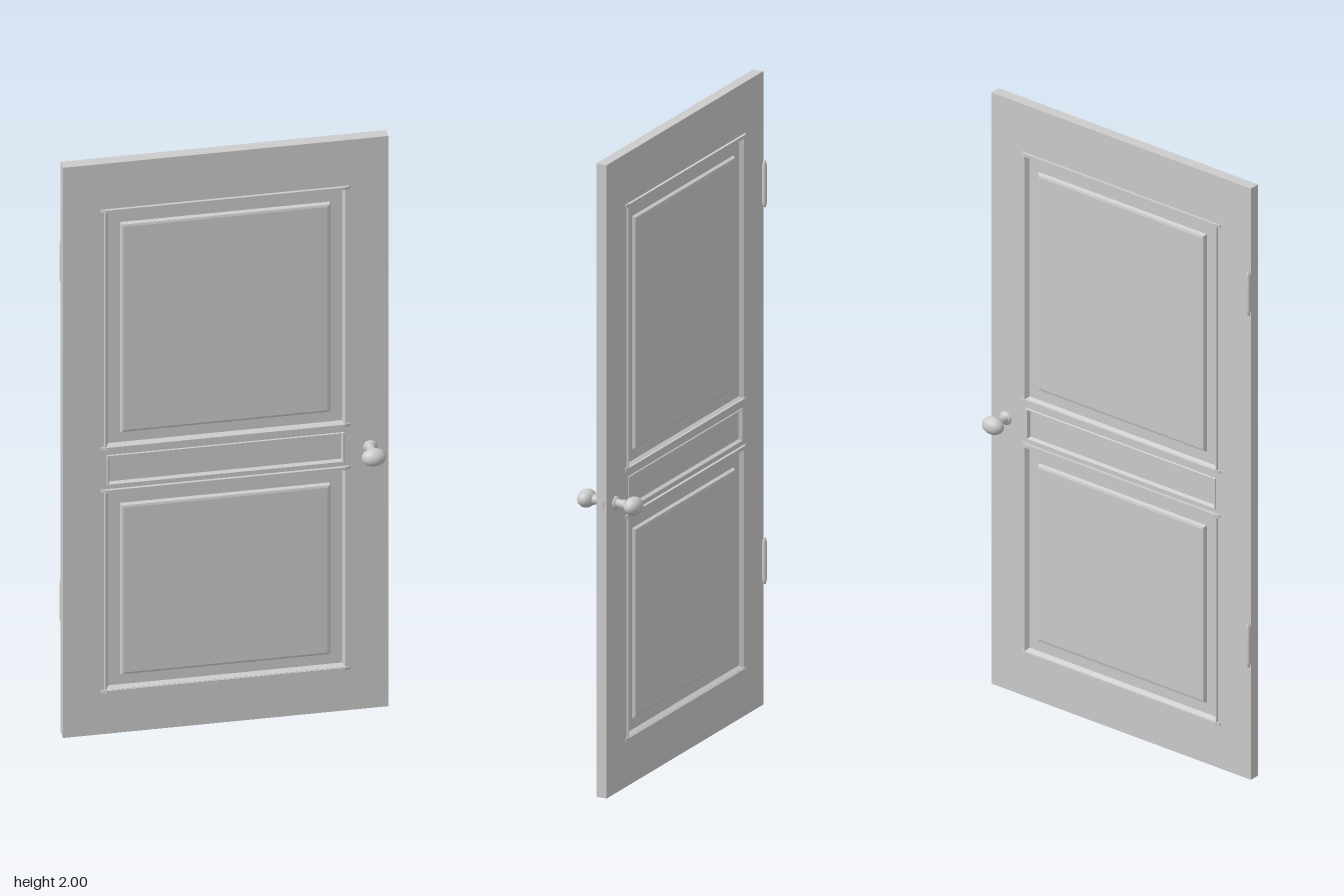
import * as THREE from 'three';

const HALF_W = 0.495, HALF_T = 0.0175, PANEL_W = 0.37;
const material = new THREE.MeshStandardMaterial({ color: 0xcccccc });

function addMesh(parent, name, geometry, x = 0, y = 0, z = 0) {
  const mesh = new THREE.Mesh(geometry, material);
  mesh.name = name;
  mesh.position.set(x, y, z);
  parent.add(mesh);
  return mesh;
}

function rectangle(Type, x, y0, y1) {
  return new Type([[-x, y0], [x, y0], [x, y1], [-x, y1]].map(p => new THREE.Vector2(...p)));
}

// Concentric rectangles; each profile step is [inset from the edge, z]
function steppedPanel(halfW, halfH, profile) {
  const rings = profile.map(([d, z]) => {
    const w = halfW - d, h = halfH - d;
    return [[-w, -h, z], [w, -h, z], [w, h, z], [-w, h, z]];
  });
  const points = [];
  const quad = (a, b, c, d) => points.push(...a, ...b, ...c, ...a, ...c, ...d);
  for (let r = 0; r < rings.length - 1; r++) {
    for (let i = 0; i < 4; i++) {
      const j = (i + 1) % 4;
      quad(rings[r][i], rings[r][j], rings[r + 1][j], rings[r + 1][i]);
    }
  }
  quad(...rings[rings.length - 1]);
  const geometry = new THREE.BufferGeometry();
  geometry.setAttribute('position', new THREE.Float32BufferAttribute(points, 3));
  geometry.computeVertexNormals();
  return geometry;
}

// Recess with a raised field, and a plain recess
const raisedProfile = [
  [0, HALF_T], [0.002, 0.023], [0.006, 0.023], [0.014, 0.009],
  [0.05, 0.009], [0.054, 0.019], [0.061, 0.021],
];
const plainProfile = [[0, HALF_T], [0.002, 0.021], [0.005, 0.021], [0.01, 0.01]];

const panels = [
  { name: 'upperPanel', y0: 1.0, y1: 1.835, halfW: PANEL_W, profile: raisedProfile },
  { name: 'middlePanel', y0: 0.87, y1: 0.977, halfW: 0.362, profile: plainProfile },
  { name: 'lowerPanel', y0: 0.15, y1: 0.85, halfW: PANEL_W, profile: raisedProfile },
];

// Horizontal moulding with ends that slope back to the door
function mouldingGeometry() {
  const shape = new THREE.Shape();
  shape.moveTo(-0.382, 0.016);
  shape.lineTo(0.382, 0.016);
  shape.lineTo(0.378, 0.021);
  shape.lineTo(0.362, 0.0265);
  shape.lineTo(-0.362, 0.0265);
  shape.lineTo(-0.378, 0.021);
  shape.closePath();
  const geometry = new THREE.ExtrudeGeometry(shape, { depth: 0.01, bevelEnabled: false });
  geometry.translate(0, 0, -0.005);
  geometry.rotateX(Math.PI / 2);
  geometry.scale(1, 1, 1);
  return geometry;
}

// Knob: rose, neck and an oval handle
function addKnob(parent, name, side) {
  const knob = new THREE.Group();
  knob.name = name;
  knob.position.set(0.44, 0.917, 0);
  const profile = [[0.022, 0.012], [0.022, 0.02], [0.017, 0.024], [0.014, 0.026],
    [0.013, 0.04], [0.017, 0.055]].map(p => new THREE.Vector2(...p));
  const stem = addMesh(knob, 'knobStem', new THREE.LatheGeometry(profile, 24));
  stem.rotation.x = side * Math.PI / 2;
  const handle = addMesh(knob, 'knobHandle', new THREE.SphereGeometry(1, 32, 20), 0, 0, side * 0.079);
  handle.scale.set(0.037, 0.028, 0.027);
  parent.add(knob);
}

export function createModel() {
  const model = new THREE.Group();
  model.name = 'door';
  const door = new THREE.Group();
  door.name = 'doorLeaf';
  door.rotation.y = 0.006; // the leaf stands very slightly ajar
  model.add(door);

  // Stiles and rails in one slab, pierced for the panels
  const outline = rectangle(THREE.Shape, HALF_W, 0, 2);
  for (const p of panels) outline.holes.push(rectangle(THREE.Path, p.halfW, p.y0, p.y1));
  const slab = new THREE.ExtrudeGeometry(outline, { depth: 2 * HALF_T, bevelEnabled: false });
  addMesh(door, 'doorFrame', slab, 0, 0, -HALF_T);

  // Panels and mouldings on both faces
  for (const side of [1, -1]) {
    const face = new THREE.Group();
    face.name = side > 0 ? 'frontFace' : 'backFace';
    face.rotation.y = side > 0 ? 0 : Math.PI;
    for (const p of panels) {
      const geometry = steppedPanel(p.halfW, (p.y1 - p.y0) / 2, p.profile);
      addMesh(face, p.name, geometry, 0, (p.y0 + p.y1) / 2, 0);
    }
    for (const y of [0.15, 0.853, 1.003, 1.835]) {
      const strip = addMesh(face, 'moulding', mouldingGeometry(), 0, y, 0);
      // turn the sloped profile outward
      strip.geometry.computeBoundingBox();
      if (strip.geometry.boundingBox.max.z < 0) strip.rotation.x = Math.PI;
    }
    door.add(face);
    addKnob(door, side > 0 ? 'frontKnob' : 'backKnob', side);
  }

  // Latch on the free edge
  addMesh(door, 'latch', new THREE.BoxGeometry(0.008, 0.028, 0.014), HALF_W - 0.001, 0.925, 0);

  // Hinge barrels with tapered ends behind the hinged edge
  const barrel = [[0, -0.075], [0.004, -0.073], [0.007, -0.06], [0.007, 0.06],
    [0.004, 0.073], [0, 0.075]].map(p => new THREE.Vector2(...p));
  for (const y of [0.457, 1.647]) {
    addMesh(door, 'hinge', new THREE.LatheGeometry(barrel, 16), -0.491, y, -0.024);
  }
  return model;
}
